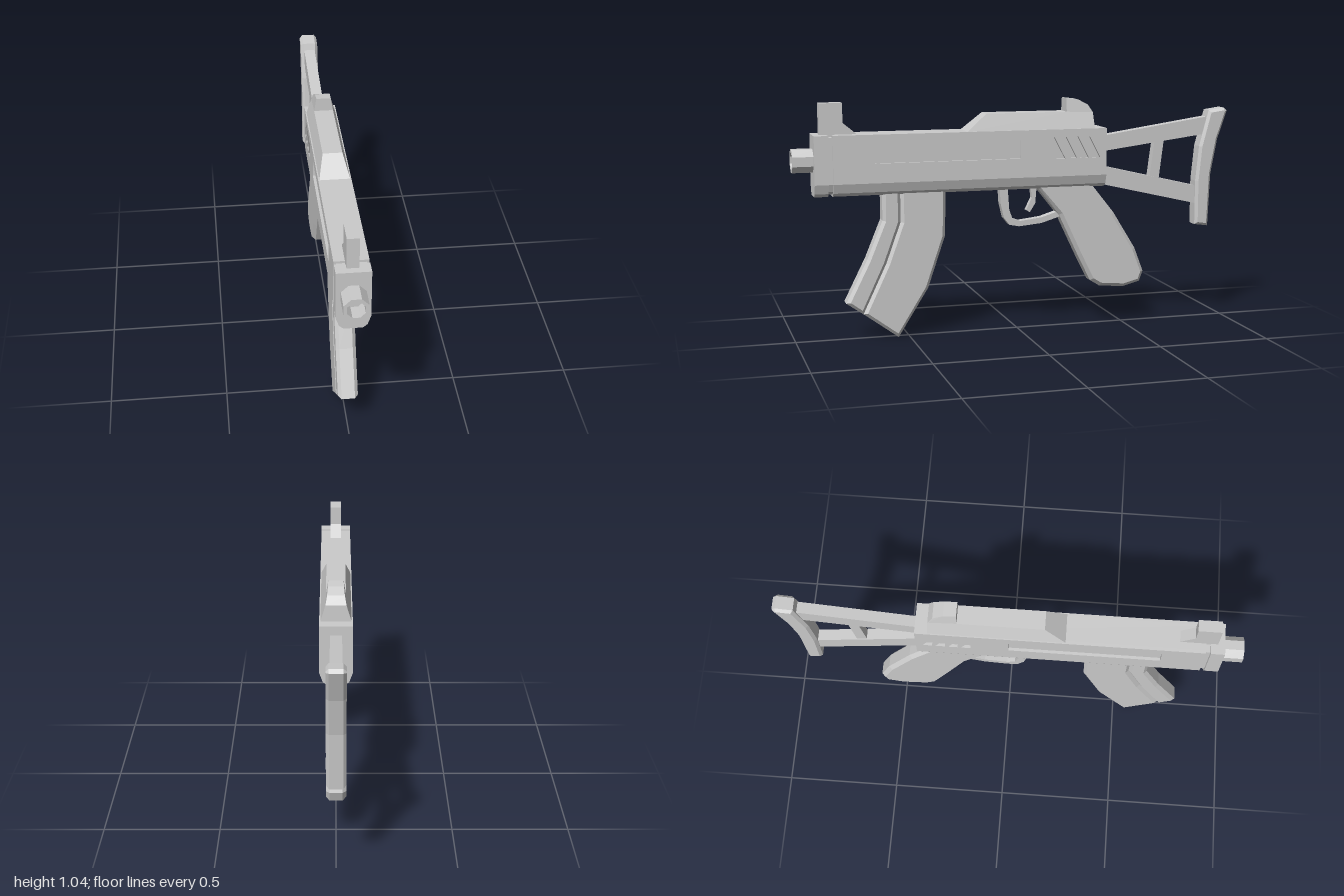
import * as THREE from 'three';

const material = new THREE.MeshStandardMaterial({ color: 0xcccccc, flatShading: true });
const toVectors = (pts) => pts.map(([a, b]) => new THREE.Vector2(a, b));

// Side profile in [z, y] points, extruded symmetrically across x
function sideGeometry(pts, halfWidth, bevel = 0, holes = []) {
  const shape = new THREE.Shape(toVectors(pts));
  shape.holes = holes.map((h) => new THREE.Path(toVectors(h)));
  const depth = 2 * (halfWidth - bevel);
  const geo = new THREE.ExtrudeGeometry(shape, {
    depth, bevelEnabled: bevel > 0, bevelThickness: bevel,
    bevelSize: bevel, bevelOffset: -bevel, bevelSegments: 1,
  });
  return geo.translate(0, 0, -depth / 2).rotateY(-Math.PI / 2);
}

// Mirrored front section given as right-hand [x, y] points, extruded from z0 to z1
function sectionGeometry(half, z0, z1) {
  const mirrored = half.map(([x, y]) => [-x, y]).reverse();
  const shape = new THREE.Shape(toVectors([...half, ...mirrored]));
  return new THREE.ExtrudeGeometry(shape, { depth: z1 - z0, bevelEnabled: false }).translate(0, 0, z0);
}

// Narrow a geometry in x by [y, halfWidth] steps
function taper(geo, steps, baseHalf) {
  const p = geo.attributes.position;
  for (let i = 0; i < p.count; i++) {
    const y = p.getY(i);
    let k = 0;
    while (k < steps.length - 2 && y > steps[k + 1][0]) k++;
    const [y0, w0] = steps[k], [y1, w1] = steps[k + 1];
    p.setX(i, p.getX(i) / baseHalf * THREE.MathUtils.mapLinear(y, y0, y1, w0, w1));
  }
  geo.computeVertexNormals();
  return geo;
}

export function createModel() {
  const group = new THREE.Group();
  const add = (name, geo) => {
    const mesh = new THREE.Mesh(geo, material);
    mesh.name = name;
    group.add(mesh);
    return mesh;
  };

  // Receiver core with chamfered underside
  const belly = [[0.07, 0.7], [0.056, 0.66], [0.038, 0.645]];
  add('receiverCore', sectionGeometry([[0.057, 0.91], [0.057, 0.7], ...belly], -0.4, 0.83));
  add('receiverNeck', sectionGeometry([[0.06, 0.9], [0.06, 0.7], [0.048, 0.668], [0.034, 0.655]], 0.82, 0.86));
  add('frontCap', sectionGeometry([[0.07, 0.91], ...belly], 0.85, 0.91));

  // Side plates with the long slot and slanted vents cut through
  const cuts = [[[0, 0.785], [0.65, 0.785], [0.65, 0.865], [0, 0.865]]];
  for (let i = 0; i < 4; i++) {
    const z = -0.115 - 0.055 * i;
    cuts.push([[z, 0.875], [z - 0.04, 0.875], [z - 0.09, 0.78], [z - 0.05, 0.78]]);
  }
  const plate = sideGeometry([[-0.4, 0.7], [0.83, 0.7], [0.83, 0.91], [-0.4, 0.91]], 0.0065, 0, cuts);
  for (const s of [1, -1]) add(s > 0 ? 'leftSidePlate' : 'rightSidePlate', plate).position.x = s * 0.0635;

  // Top cover and rear sight hump
  const cover = sideGeometry([
    [0.24, 0.91], [0.15, 0.985], [-0.22, 0.985], [-0.22, 1.045], [-0.275, 1.038],
    [-0.32, 1.015], [-0.342, 0.98], [-0.345, 0.91],
  ], 0.065);
  add('topCover', taper(cover, [[0.91, 0.065], [0.985, 0.042], [1.045, 0.032]], 0.065));

  // Front sight
  add('frontSight', sideGeometry([
    [0.88, 0.9], [0.88, 1.045], [0.78, 1.045], [0.78, 0.96], [0.72, 0.91], [0.72, 0.9],
  ], 0.025));

  // Hollow octagonal muzzle
  const muzzle = new THREE.LatheGeometry(
    toVectors([[0.054, 0.9], [0.054, 1], [0.039, 1], [0.039, 0.93], [0, 0.93]]), 8, Math.PI / 8);
  add('muzzle', muzzle.rotateX(Math.PI / 2).translate(0, 0.8, 0)).material =
    Object.assign(material.clone(), { side: THREE.DoubleSide });

  // Curved magazine: front rib and main body separated by a groove
  const groove = [[0.535, 0.67], [0.535, 0.52], [0.6, 0.34], [0.705, 0.118]];
  add('magazineRib', sideGeometry([
    ...groove, [0.78, 0.17], [0.685, 0.36], [0.615, 0.53], [0.615, 0.67],
  ], 0.042, 0.014));
  add('magazineBody', sideGeometry([
    ...groove, [0.55, 0.005], [0.415, 0.22], [0.337, 0.45], [0.332, 0.67],
  ], 0.042, 0.014));

  // Pistol grip
  add('grip', sideGeometry([
    [-0.07, 0.67], [-0.19, 0.52], [-0.28, 0.33], [-0.34, 0.21], [-0.385, 0.182], [-0.5, 0.172],
    [-0.58, 0.193], [-0.597, 0.24], [-0.555, 0.35], [-0.45, 0.52], [-0.33, 0.67],
  ], 0.043, 0.016));

  // Trigger and guard
  add('triggerGuard', sideGeometry([
    [0.085, 0.66], [0.08, 0.58], [0.065, 0.515], [0.04, 0.483], [-0.005, 0.474], [-0.11, 0.484], [-0.21, 0.515],
    [-0.19, 0.535], [-0.11, 0.51], [-0.01, 0.498], [0.025, 0.51], [0.04, 0.55], [0.048, 0.66],
  ], 0.02));
  add('trigger', sideGeometry([
    [-0.06, 0.66], [-0.067, 0.6], [-0.04, 0.545], [-0.058, 0.535], [-0.083, 0.575], [-0.09, 0.66],
  ], 0.013));

  // Open shoulder stock
  add('stockUpperStrut', sideGeometry([[-0.39, 0.87], [-0.39, 0.8], [-0.89, 0.865], [-0.9, 0.945]], 0.025));
  add('stockLowerStrut', sideGeometry([[-0.39, 0.735], [-0.39, 0.652], [-0.87, 0.54], [-0.87, 0.622]], 0.025));
  add('stockCrossbar', sideGeometry([[-0.65, 0.845], [-0.695, 0.85], [-0.67, 0.65], [-0.625, 0.66]], 0.02));
  add('buttPlate', sideGeometry([
    [-0.91, 0.975], [-0.985, 0.985], [-1, 0.972], [-0.955, 0.84], [-0.925, 0.68],
    [-0.915, 0.437], [-0.85, 0.446], [-0.85, 0.65], [-0.866, 0.81],
  ], 0.04, 0.012));

  return group;
}
